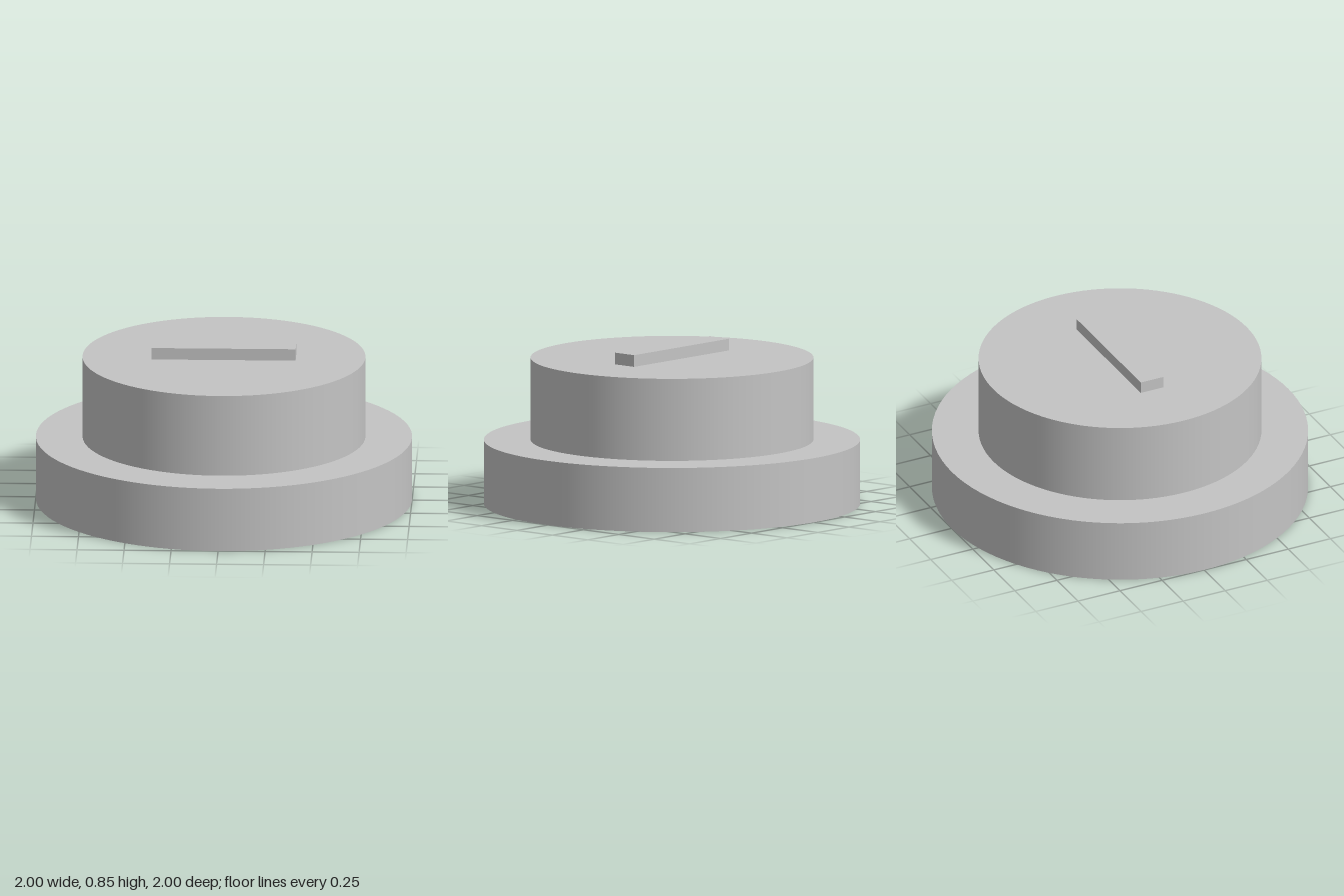
import * as THREE from 'three';

export function createModel() {
  const model = new THREE.Group();
  const grey = new THREE.MeshStandardMaterial({ color: 0xc4c4c4 });
  grey.name = 'lightGrey';

  // Adds a part resting at the given height
  const add = (name, geometry, bottom, height) => {
    const mesh = new THREE.Mesh(geometry, grey);
    mesh.name = name;
    mesh.position.y = bottom + height / 2;
    model.add(mesh);
  };
  const disc = (name, radius, bottom, top) =>
    add(name, new THREE.CylinderGeometry(radius, radius, top - bottom, 96), bottom, top - bottom);

  // Wide base, narrower upper drum and the raised bar on top
  disc('base', 1, 0, 0.345);
  disc('upperDrum', 0.752, 0.345, 0.786);
  add('topBar', new THREE.BoxGeometry(0.766, 0.063, 0.136), 0.786, 0.063);

  return model;
}
